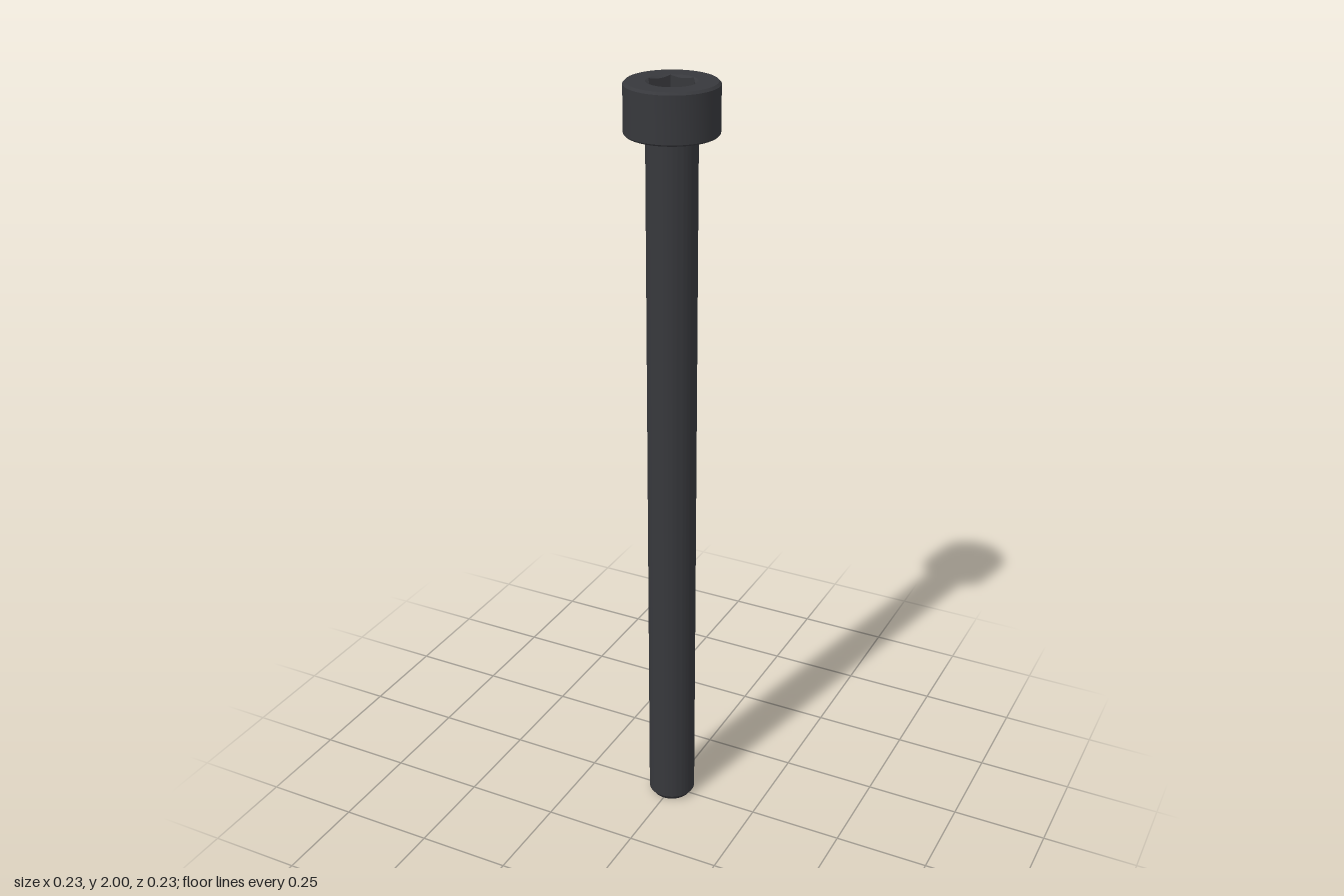
import * as THREE from 'three';
import { toCreasedNormals } from 'three/addons/utils/BufferGeometryUtils.js';

const SEG = 72;
const HEAD_R = 0.114, SHAFT_R = 0.0625, TOP = 2, HEAD_Y = 1.877;
const HEX_R = 0.0605, RIM_R = 0.0615, FLOOR_Y = 1.945;

// Surface of revolution with sharp edges, profile listed from bottom to top
function turned(profile) {
  const points = profile.map(([r, y]) => new THREE.Vector2(r, y));
  return toCreasedNormals(new THREE.LatheGeometry(points, SEG), 0.4);
}

// Hexagonal recess: conical lead-in, six flat walls and a flat floor
function hexSocket() {
  const apothem = HEX_R * Math.cos(Math.PI / 6);
  const ringsAt = (i) => {
    const a = (i / SEG) * Math.PI * 2;
    const r = apothem / Math.cos((a % (Math.PI / 3)) - Math.PI / 6);
    const at = (radius, y) => [radius * Math.cos(a), y, -radius * Math.sin(a)];
    return [
      at(RIM_R, TOP),
      at(r, TOP - (RIM_R - r) * Math.tan(Math.PI / 6)),
      at(r, FLOOR_Y),
    ];
  };
  const pos = [];
  for (let i = 0; i < SEG; i++) {
    const p = ringsAt(i), q = ringsAt((i + 1) % SEG);
    for (let k = 0; k < 2; k++) {
      pos.push(...p[k], ...q[k], ...p[k + 1]);
      pos.push(...q[k], ...q[k + 1], ...p[k + 1]);
    }
    pos.push(...p[2], ...q[2], 0, FLOOR_Y, 0);
  }
  const geometry = new THREE.BufferGeometry();
  geometry.setAttribute('position', new THREE.Float32BufferAttribute(pos, 3));
  return toCreasedNormals(geometry, 0.4);
}

export function createModel() {
  const model = new THREE.Group();
  model.name = 'socketHeadBolt';
  const material = new THREE.MeshStandardMaterial({ color: 0x37383c });
  const add = (name, geometry) => {
    const mesh = new THREE.Mesh(geometry, material);
    mesh.name = name;
    model.add(mesh);
  };

  // Shaft with a chamfered tip
  add('shaft', turned([[0, 0], [SHAFT_R - 0.01, 0], [SHAFT_R, 0.014], [SHAFT_R, HEAD_Y]]));

  // Cylindrical head with small edge chamfers, open at the socket rim
  add('head', turned([
    [SHAFT_R, HEAD_Y], [HEAD_R - 0.004, HEAD_Y], [HEAD_R, HEAD_Y + 0.004],
    [HEAD_R, TOP - 0.006], [HEAD_R - 0.006, TOP], [RIM_R, TOP],
  ]));

  // Hex drive recess
  add('hexSocket', hexSocket());

  return model;
}
